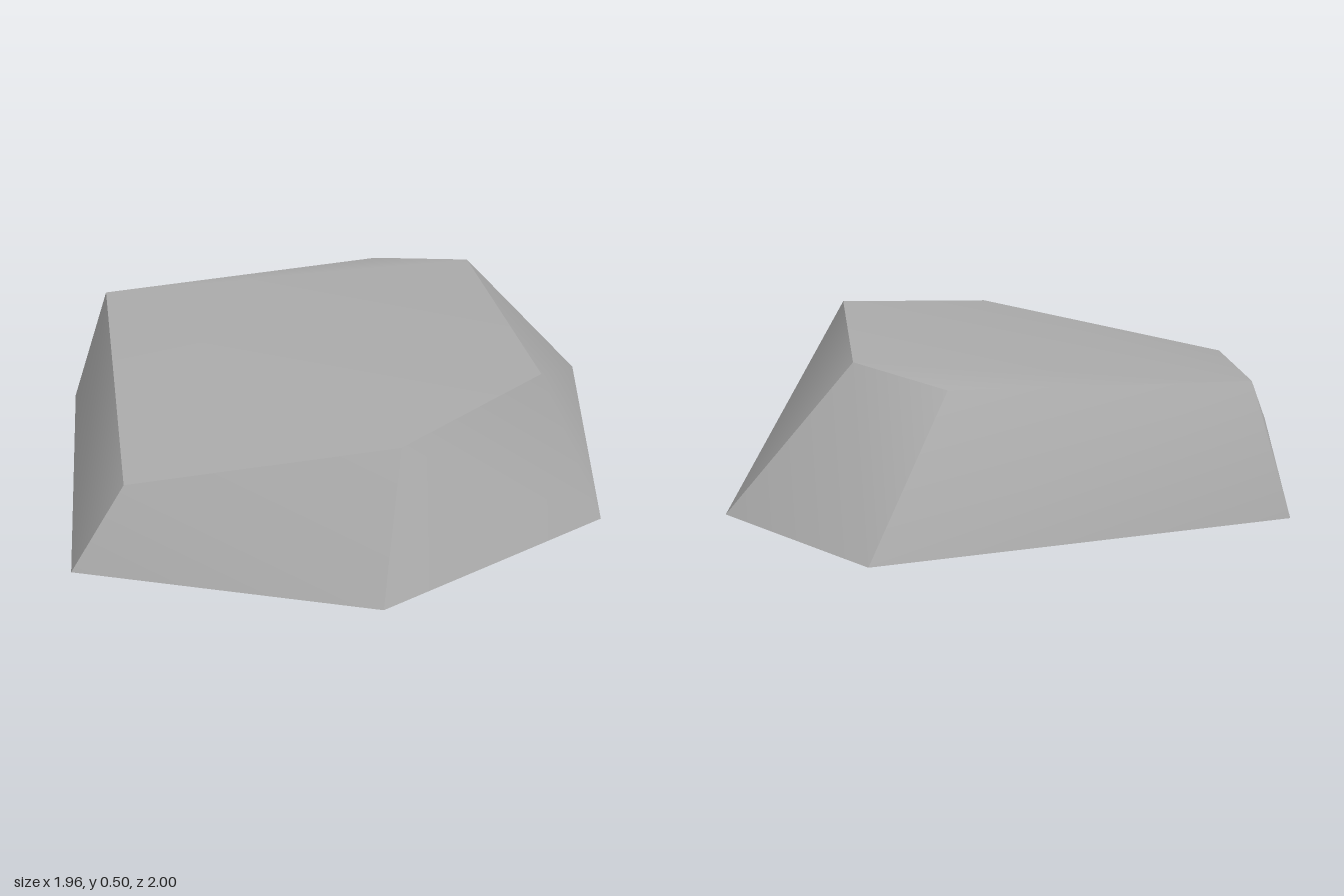
import * as THREE from 'three';

// Matching rings of six corners, counter-clockwise seen from above, starting at the right tip
const base = [
  [-0.98, 0, 0.10], [-0.42, 0, 1.0], [0.55, 0, 0.73],
  [0.98, 0, -0.03], [0.55, 0, -0.89], [-0.12, 0, -1.0],
];
const rim = [
  [-0.84, 0.445, 0.07], [-0.30, 0.28, 0.85], [0.485, 0.435, 0.48],
  [0.745, 0.50, -0.02], [0.225, 0.50, -0.62], [-0.11, 0.45, -0.57],
];

// Indexed surface: normals are smooth inside a part and sharp between parts
function surface(name, points, index, material) {
  const geometry = new THREE.BufferGeometry();
  geometry.setAttribute('position', new THREE.Float32BufferAttribute(points.flat(), 3));
  geometry.setIndex(index);
  geometry.computeVertexNormals();
  const mesh = new THREE.Mesh(geometry, material);
  mesh.name = name;
  return mesh;
}

// Flat cap as a fan from its first corner
function cap(name, ring, material) {
  const index = [];
  for (let i = 1; i < ring.length - 1; i++) index.push(0, i, i + 1);
  return surface(name, ring, index, material);
}

// Sloping side running through the given corners
function side(name, corners, material) {
  const points = corners.flatMap((c) => [base[c], rim[c]]);
  const index = [];
  for (let i = 0; i < corners.length - 1; i++) {
    const [b0, t0, b1, t1] = [2 * i, 2 * i + 1, 2 * i + 2, 2 * i + 3];
    // the diagonal follows the outward fold of each facet
    if (corners[i] === 5) index.push(b0, b1, t1, b0, t1, t0);
    else index.push(b0, b1, t0, b1, t1, t0);
  }
  return surface(name, points, index, material);
}

export function createModel() {
  const stone = new THREE.MeshStandardMaterial({ color: 0xaaaaaa });
  stone.name = 'grey stone';

  const rock = new THREE.Group();
  rock.name = 'rock';
  rock.add(
    cap('topFace', rim, stone),
    cap('underside', [...base].reverse(), stone),
    side('frontFace', [1, 2], stone),
    side('leftFace', [2, 3, 4], stone),
    side('backFace', [4, 5], stone),
    side('rightFace', [5, 0, 1], stone),
  );
  return rock;
}
